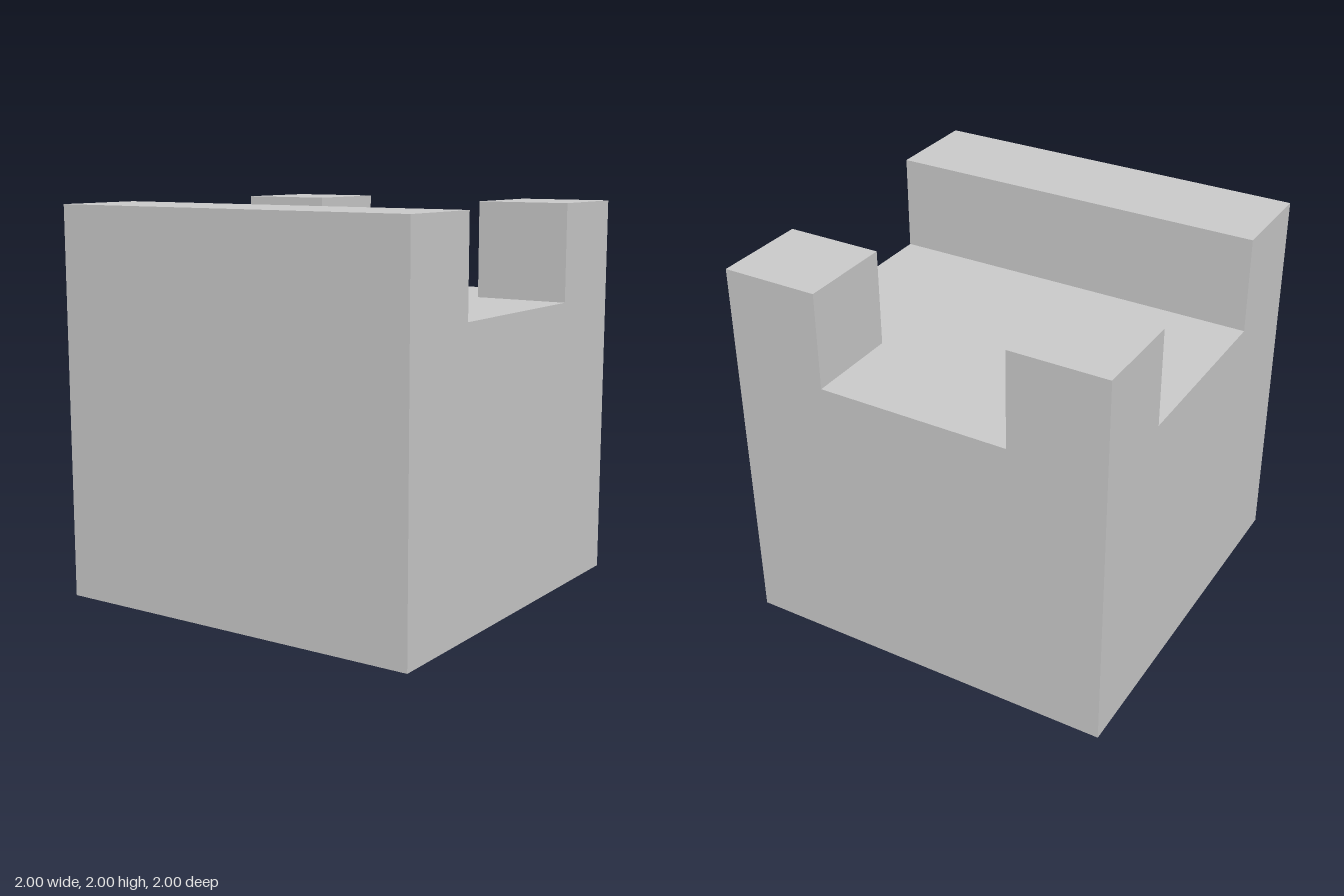
import * as THREE from 'three';

export function createModel() {
  const group = new THREE.Group();
  const material = new THREE.MeshStandardMaterial({ color: 0xcccccc, flatShading: true });

  const add = (name, geometry) => {
    const mesh = new THREE.Mesh(geometry, material);
    mesh.name = name;
    group.add(mesh);
    return mesh;
  };

  // Block with the full-width front wall: side profile (z, y) extruded along x
  const profile = new THREE.Shape([
    [-1, 0], [1, 0], [1, 2], [0.5, 2], [0.5, 1.5], [-1, 1.5],
  ].map(([z, y]) => new THREE.Vector2(z, y)));
  const block = new THREE.ExtrudeGeometry(profile, { depth: 2, bevelEnabled: false });
  block.rotateY(-Math.PI / 2).translate(1, 0, 0);
  add('blockWithFrontWall', block);

  // Square posts on the two back corners
  for (const [name, side] of [['leftBackPost', 1], ['rightBackPost', -1]]) {
    add(name, new THREE.BoxGeometry(0.5, 0.5, 0.5)).position.set(side * 0.75, 1.75, -0.75);
  }

  return group;
}
